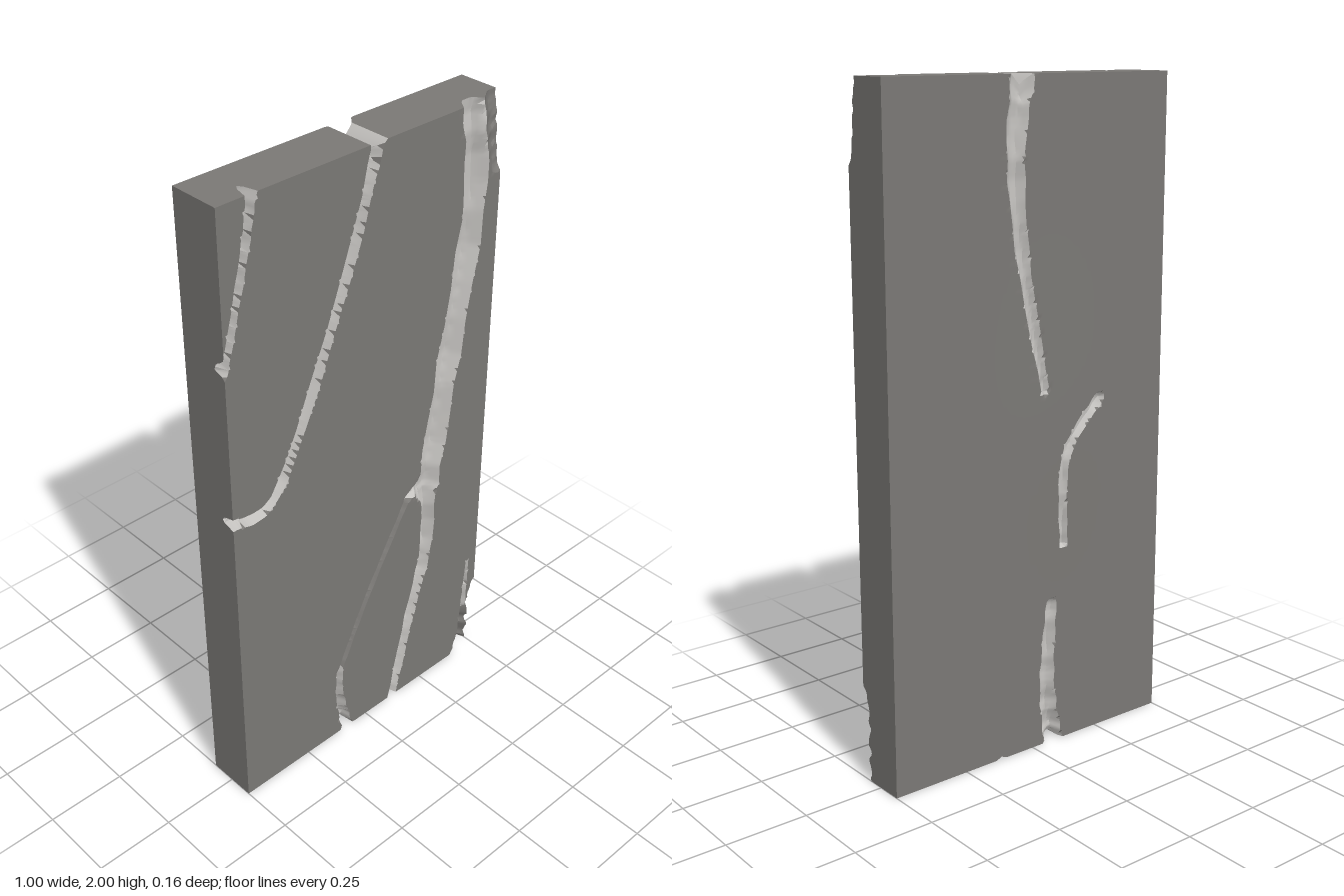
import * as THREE from 'three';
import { toCreasedNormals } from 'three/addons/utils/BufferGeometryUtils.js';

const NX = 100, NY = 200, CELL = 0.01, HALF = 0.08, STEPS = 14;

// A crack follows a smooth curve; its half width runs from w0 to w1 with a slight
// waver, and its depth shrinks along with the width.
function crack(pale, depth, w0, w1, ...points) {
  const curve = new THREE.SplineCurve(points.map(p => new THREE.Vector2(...p)));
  const path = [];
  for (let k = 0; k <= STEPS; k++) {
    const p = curve.getPoint(k / STEPS);
    const w = (w0 + (w1 - w0) * k / STEPS) * (1 + 0.12 * Math.sin(k * 2.3));
    path.push({ x: p.x, y: p.y, w, depth: depth * w / Math.max(w0, w1) });
  }
  return { pale, path };
}

const frontCracks = [
  // upper left pair
  crack(true, 0.055, 0.017, 0.011, [-0.39, 2], [-0.42, 1.85], [-0.5, 1.54]),
  crack(true, 0.045, 0.02, 0.018, [0.025, 2], [-0.06, 1.72], [-0.25, 1.26], [-0.37, 1.06], [-0.5, 1.06]),
  // wide channel, its lower tail and the branch to the left
  crack(true, 0.038, 0.047, 0.048, [0.385, 2], [0.4, 1.7], [0.32, 1.2], [0.255, 0.8]),
  crack(true, 0.035, 0.032, 0.018, [0.26, 0.8], [0.255, 0.55], [0.19, 0.3], [0.12, 0]),
  crack(true, 0.03, 0.03, 0.014, [0.25, 0.83], [0.17, 0.8]),
  crack(false, 0.015, 0.012, 0.01, [0.17, 0.8], [0, 0.5], [-0.11, 0.27]),
  crack(true, 0.04, 0.011, 0.021, [-0.11, 0.27], [-0.115, 0.17], [-0.085, 0]),
  // chipped right-hand corners
  crack(false, 0.035, 0.08, 0.03, [0.5, 2], [0.49, 1.8]),
  crack(false, 0.07, 0.01, 0.055, [0.5, 0.28], [0.46, 0]),
  crack(true, 0.035, 0.006, 0.018, [0.46, 0.38], [0.44, 0]),
];
const backCracks = [
  crack(true, 0.03, 0.042, 0.014, [0.04, 2], [0.065, 1.79], [0.04, 1.5], [-0.04, 1.11]),
  crack(true, 0.02, 0.02, 0.015, [-0.25, 1.06], [-0.12, 0.9], [-0.115, 0.635]),
  crack(true, 0.033, 0.02, 0.036, [-0.07, 0.45], [-0.055, 0.2], [-0.08, 0]),
];

// Notches worn straight through the ends
const notch = (x, centre, width, depth) => Math.max(0, depth * (1 - Math.abs(x - centre) / width));
const topNotch = x => notch(x, 0.03, 0.028, 0.03);
const bottomNotch = x => notch(x, -0.085, 0.028, 0.025) + notch(x, 0.12, 0.02, 0.008);

// Nearest stretch of a crack: signed distance to its edge, outward direction, depth
function probe(path, x, y) {
  let best = { edge: Infinity };
  for (let k = 0; k < STEPS; k++) {
    const a = path[k], b = path[k + 1];
    const ex = b.x - a.x, ey = b.y - a.y;
    const t = THREE.MathUtils.clamp(((x - a.x) * ex + (y - a.y) * ey) / (ex * ex + ey * ey), 0, 1);
    const dx = x - a.x - ex * t, dy = y - a.y - ey * t, d = Math.hypot(dx, dy);
    const w = a.w + (b.w - a.w) * t;
    if (d - w < best.edge) {
      const depth = (a.depth + (b.depth - a.depth) * t) * Math.min(1, Math.max(0, 1 - d / w) * 1.7);
      best = { edge: d - w, nx: dx / (d || 1), ny: dy / (d || 1), depth };
    }
  }
  return best;
}

const isPale = (cracks, x, y) => cracks.some(c => c.pale && probe(c.path, x, y).edge < 0);

// One carved face as a grid of points, with vertices snapped to the crack edges
function carve(cracks, side) {
  const rows = [];
  for (let j = 0; j <= NY; j++) {
    const row = [];
    for (let i = 0; i <= NX; i++) {
      let x = -0.5 + i * CELL, y = j * CELL;
      if (i > 0 && i < NX && j > 0 && j < NY) {
        let near = { edge: Infinity };
        for (const c of cracks) {
          const p = probe(c.path, x, y);
          if (Math.abs(p.edge) < Math.abs(near.edge)) near = p;
        }
        if (Math.abs(near.edge) < CELL * 0.48) {
          x -= near.nx * near.edge;
          y -= near.ny * near.edge;
        }
      }
      const depth = cracks.reduce((m, c) => Math.max(m, probe(c.path, x, y).depth), 0);
      const bulge = side < 0 ? 0.005 * Math.exp(-((x + 0.08) ** 2) / 0.04 - ((y - 1) ** 2) / 0.15) : 0;
      const worn = bottomNotch(x) * Math.max(0, 1 - y / 0.1) - topNotch(x) * Math.max(0, 1 - (2 - y) / 0.1);
      row.push([x, y + worn, side * (HALF - depth + bulge)]);
    }
    rows.push(row);
  }
  return rows;
}

export function createModel() {
  const stone = new THREE.MeshStandardMaterial({ color: 0x7b7976 });
  stone.name = 'grey stone';
  const paleStone = new THREE.MeshStandardMaterial({ color: 0xc4c2bf });
  paleStone.name = 'pale broken stone';

  const plain = [], pale = [];
  const quad = (a, b, c, d, light) => (light ? pale : plain).push(...a, ...b, ...c, ...a, ...c, ...d);

  // Front and back faces
  const front = carve(frontCracks, 1), back = carve(backCracks, -1);
  for (const [grid, cracks, flip] of [[front, frontCracks, false], [back, backCracks, true]]) {
    for (let j = 0; j < NY; j++) for (let i = 0; i < NX; i++) {
      const q = [grid[j][i], grid[j][i + 1], grid[j + 1][i + 1], grid[j + 1][i]];
      const cx = (q[0][0] + q[1][0] + q[2][0] + q[3][0]) / 4;
      const cy = (q[0][1] + q[1][1] + q[2][1] + q[3][1]) / 4;
      if (flip) q.reverse();
      quad(...q, isPale(cracks, cx, cy));
    }
  }

  // Edge walls, walked anticlockwise around the front
  const edge = [];
  for (let i = 0; i < NX; i++) edge.push([0, i]);
  for (let j = 0; j < NY; j++) edge.push([j, NX]);
  for (let i = NX; i > 0; i--) edge.push([NY, i]);
  for (let j = NY; j > 0; j--) edge.push([j, 0]);
  edge.forEach(([j, i], k) => {
    const [j2, i2] = edge[(k + 1) % edge.length];
    const x = (front[j][i][0] + front[j2][i2][0]) / 2;
    const worn = j === j2 && (j === NY ? topNotch(x) : bottomNotch(x)) > 0;
    quad(front[j][i], back[j][i], back[j2][i2], front[j2][i2], worn);
  });

  const group = new THREE.Group();
  group.name = 'crackedStoneSlab';
  for (const [name, points, material] of [['slab', plain, stone], ['cracks', pale, paleStone]]) {
    const geometry = new THREE.BufferGeometry();
    geometry.setAttribute('position', new THREE.Float32BufferAttribute(points, 3));
    const mesh = new THREE.Mesh(toCreasedNormals(geometry, 0.6), material);
    mesh.name = name;
    group.add(mesh);
  }
  return group;
}
